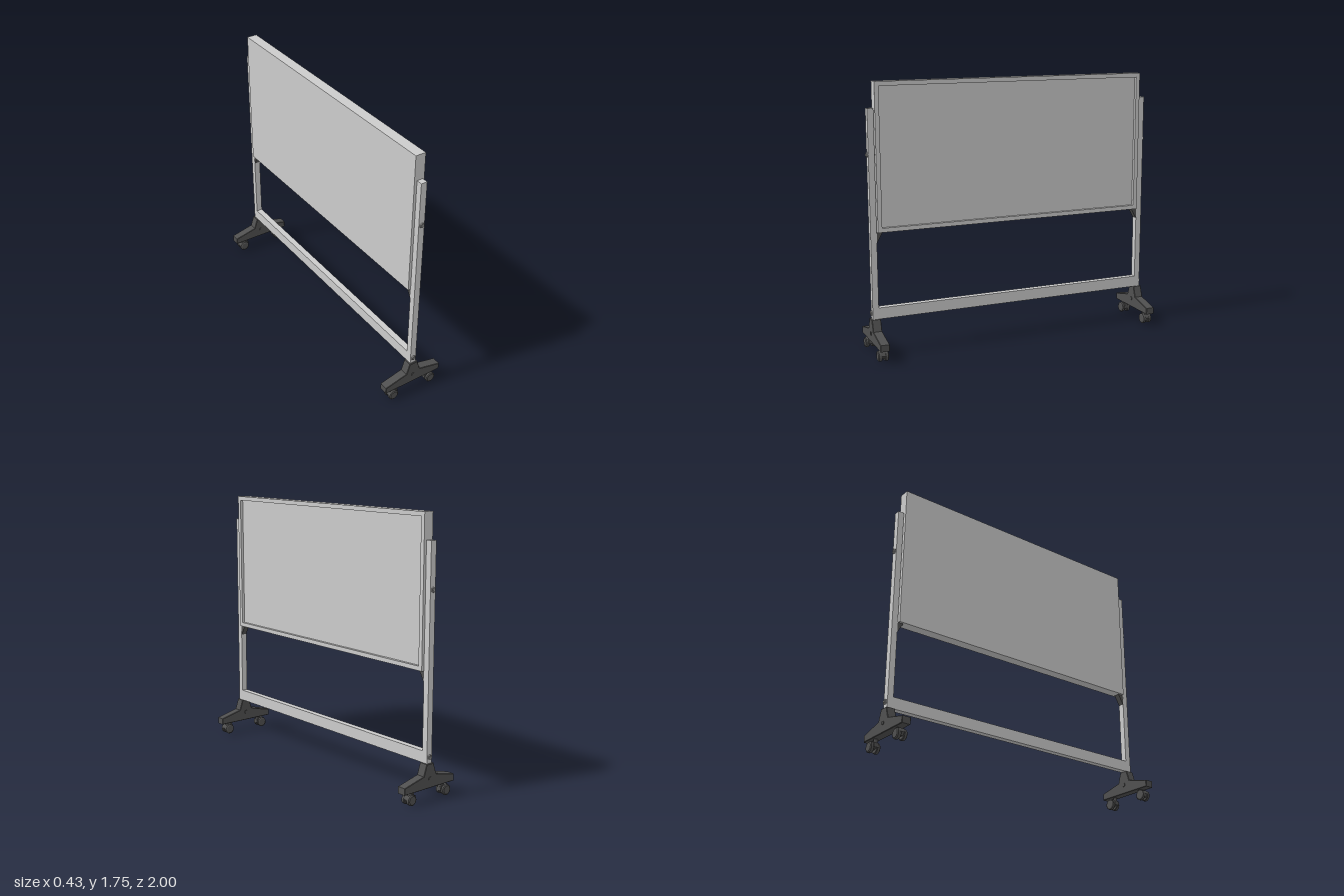
import * as THREE from 'three';

const grey = new THREE.MeshStandardMaterial({ color: 0xcccccc, flatShading: true });
const dark = new THREE.MeshStandardMaterial({ color: 0x505050, flatShading: true });
const steel = new THREE.MeshStandardMaterial({ color: 0x999999, flatShading: true });

function add(parent, name, geometry, material, x = 0, y = 0, z = 0) {
  const mesh = new THREE.Mesh(geometry, material);
  mesh.name = name;
  mesh.position.set(x, y, z);
  parent.add(mesh);
  return mesh;
}

const shape = (pts) => new THREE.Shape(pts.map(([x, y]) => new THREE.Vector2(x, y)));

// Extrusion along z, centred on z = 0
function plate(outline, depth, bevel = 0) {
  const g = new THREE.ExtrudeGeometry(outline, {
    depth: depth - 2 * bevel, bevelEnabled: bevel > 0, bevelThickness: bevel,
    bevelSize: bevel, bevelOffset: -bevel, bevelSegments: 1, curveSegments: 16,
  });
  return g.translate(0, 0, -depth / 2 + bevel);
}

const rod = (r, length, sides = 16) =>
  new THREE.CylinderGeometry(r, r, length, sides).rotateX(Math.PI / 2);

// Flat-backed board with a raised rim on the +x face
function createBoard() {
  const board = new THREE.Group();
  board.name = 'board';
  const w = 0.94, low = 0.805, high = 1.755, rim = 0.028;
  add(board, 'panel', new THREE.BoxGeometry(0.05, high - low, 2 * w), grey, -0.01, (low + high) / 2, 0);
  const frame = shape([[-w, low], [w, low], [w, high], [-w, high]]);
  const a = w - rim, b = low + rim, c = high - rim;
  frame.holes.push(shape([[-a, b], [-a, c], [a, c], [a, b]]));
  add(board, 'rim', plate(frame, 0.02).rotateY(Math.PI / 2), grey, 0.025, 0, 0);
  return board;
}

// Swivel caster: stem, two wheels and a hood between them
function createCaster() {
  const caster = new THREE.Group();
  caster.name = 'caster';
  add(caster, 'stem', new THREE.CylinderGeometry(0.013, 0.013, 0.045, 12), dark, -0.025, 0.065, 0);
  for (const s of [-1, 1]) {
    const wheel = new THREE.LatheGeometry([[0, -0.013], [0.03, -0.013], [0.034, -0.008],
      [0.034, 0.008], [0.027, 0.013], [0, 0.013]].map(([r, h]) => new THREE.Vector2(r, h)), 16);
    add(caster, 'wheel', wheel.rotateX(s * Math.PI / 2), dark, 0, 0.034, s * 0.021);
  }
  const hood = shape([[-0.038, 0.03], [0.02, 0.02], [0.034, 0.04], [0.02, 0.066], [-0.012, 0.07], [-0.038, 0.056]]);
  add(caster, 'hood', plate(hood, 0.034), dark);
  return caster;
}

// Half of the stand at the +z end
function createEnd() {
  const end = new THREE.Group();
  end.name = 'standEnd';
  const zPost = 0.965;
  add(end, 'post', new THREE.BoxGeometry(0.042, 1.355, 0.04), grey, 0, 0.9125, zPost);

  // Gusset under the board's corner
  const gusset = shape([[0.945, 0.735], [0.945, 0.805], [0.905, 0.805]]);
  const g = plate(gusset, 0.04).rotateY(-Math.PI / 2);
  add(end, 'gusset', g, dark);

  // Bolts through the post
  for (const y of [0.275, 1.3]) {
    add(end, 'boltHead', rod(0.017, 0.008, 6), steel, 0, y, 0.989);
    add(end, 'boltTip', rod(0.008, 0.004, 12), steel, 0, y, 0.995);
  }
  add(end, 'pivot', rod(0.01, 0.02), steel, 0, 1.3, 0.94);

  // Foot with sloping arms, fixing bolt and casters
  const foot = shape([[-0.213, 0.08], [0.213, 0.08], [0.213, 0.124], [0.053, 0.162],
    [0.029, 0.235], [-0.029, 0.235], [-0.053, 0.162], [-0.213, 0.124]]);
  add(end, 'foot', plate(foot, 0.06, 0.003), dark, 0, 0, zPost);
  add(end, 'footBolt', rod(0.013, 0.068, 12), dark, 0, 0.14, zPost);
  for (const s of [-1, 1]) {
    const caster = createCaster();
    caster.position.set(s * 0.148, 0, zPost);
    if (s < 0) caster.rotation.y = Math.PI;
    end.add(caster);
  }
  return end;
}

export function createModel() {
  const model = new THREE.Group();
  model.name = 'mobileBoard';
  model.add(createBoard());
  add(model, 'crossBeam', new THREE.BoxGeometry(0.042, 0.075, 1.89), grey, 0, 0.2725, 0);
  for (const turn of [0, Math.PI]) {
    const end = createEnd();
    end.rotation.y = turn;
    model.add(end);
  }
  return model;
}
